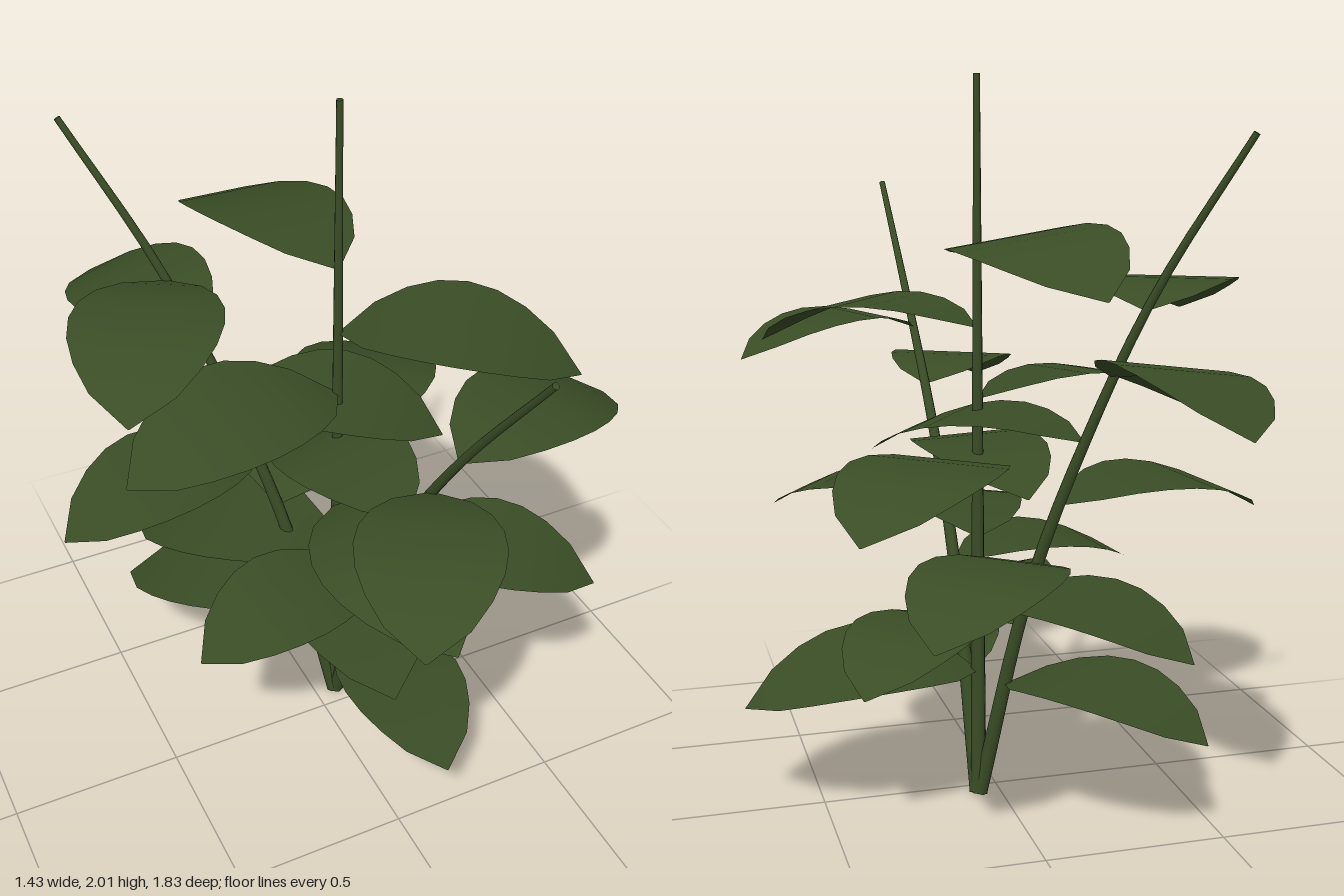
import * as THREE from 'three';

const green = new THREE.MeshStandardMaterial({ color: 0x3a4d26, side: THREE.DoubleSide });
green.name = 'leafGreen';

const V = (x, y, z) => new THREE.Vector3(x, y, z);
const R0 = 0.023, R1 = 0.009;

// Tapered round stem along a curve, closed by a disc at each end
function makeStem(curve) {
  const rings = 20, sides = 8;
  const geo = new THREE.TubeGeometry(curve, rings, 1, sides, false);
  const pos = geo.attributes.position;
  const p = new THREE.Vector3();
  for (let i = 0; i <= rings; i++) {
    const centre = curve.getPointAt(i / rings);
    const r = THREE.MathUtils.lerp(R0, R1, i / rings);
    for (let j = 0; j <= sides; j++) {
      const k = i * (sides + 1) + j;
      p.fromBufferAttribute(pos, k).sub(centre).multiplyScalar(r).add(centre);
      pos.setXYZ(k, p.x, p.y, p.z);
    }
  }
  const stem = new THREE.Group();
  stem.add(new THREE.Mesh(geo, green));
  for (const [t, r, dir] of [[0, R0, -1], [1, R1, 1]]) {
    const cap = new THREE.Mesh(new THREE.CircleGeometry(r, sides), green);
    cap.position.copy(curve.getPointAt(t));
    cap.quaternion.setFromUnitVectors(V(0, 0, 1), curve.getTangentAt(t).multiplyScalar(dir));
    cap.name = 'stemEnd';
    stem.add(cap);
  }
  return stem;
}

// Oval leaf of unit length along +x: rises, arches over and droops at the tip
function leafGeometry() {
  const geo = new THREE.PlaneGeometry(1, 1, 8, 4);
  geo.rotateX(-Math.PI / 2);
  const pos = geo.attributes.position;
  for (let i = 0; i < pos.count; i++) {
    const t = pos.getX(i) + 0.5;
    const half = 0.325 * Math.pow(Math.max(Math.sin(Math.PI * t), 0), 0.65) + 0.004;
    pos.setXYZ(i, t, 0.5 * t - 0.595 * t * t, pos.getZ(i) * 2 * half);
  }
  geo.computeVertexNormals();
  return geo;
}

// Point of the stem at a given height
function pointAtHeight(curve, y) {
  let lo = 0, hi = 1;
  for (let i = 0; i < 30; i++) {
    const mid = (lo + hi) / 2;
    if (curve.getPoint(mid).y < y) lo = mid; else hi = mid;
  }
  return curve.getPoint(lo);
}

export function createModel() {
  const plant = new THREE.Group();
  plant.name = 'leafyPlant';
  const leafGeo = leafGeometry();

  // Each stem: path, leaf length, height of first leaf, leaf spacing, first heading, leaf rolls
  const stems = [
    { name: 'uprightStem', path: [V(0.065, 0, -0.055), V(0.065, 1, -0.055), V(0.065, 2, -0.055)],
      size: 0.65, first: 0.365, step: 0.194, heading: 2.5, rolls: [-0.15, 0, 0.15, 0, -0.08, 0, 0.13] },
    { name: 'backStem', path: [V(0.06, 0, -0.055), V(-0.05, 0.63, -0.17), V(-0.175, 1.08, -0.29),
      V(-0.31, 1.46, -0.41), V(-0.495, 1.85, -0.57)],
      size: 0.61, first: 0.34, step: 0.178, heading: 225, rolls: [0, -0.13, 0, 0, 0, -0.15, 0] },
    { name: 'frontStem', path: [V(0.068, 0, -0.055), V(0.082, 0.55, 0.11), V(0.092, 0.84, 0.245),
      V(0.106, 1.1, 0.4), V(0.123, 1.34, 0.56), V(0.145, 1.69, 0.83)],
      size: 0.565, first: 0.315, step: 0.159, heading: 87.5, rolls: [-0.12, 0, 0, 0, 0, 0, 0] },
  ];

  for (const s of stems) {
    const curve = new THREE.CatmullRomCurve3(s.path);
    const stem = makeStem(curve);
    stem.name = s.name;
    plant.add(stem);

    // Leaves spiral up the stem by the golden angle
    s.rolls.forEach((roll, i) => {
      const leaf = new THREE.Mesh(leafGeo, green);
      leaf.name = 'leaf';
      leaf.position.copy(pointAtHeight(curve, s.first + i * s.step));
      leaf.rotation.order = 'YXZ';
      leaf.rotation.y = -THREE.MathUtils.degToRad(s.heading - i * 137.5);
      leaf.rotation.x = roll;
      leaf.scale.setScalar(s.size);
      plant.add(leaf);
    });
  }
  return plant;
}
